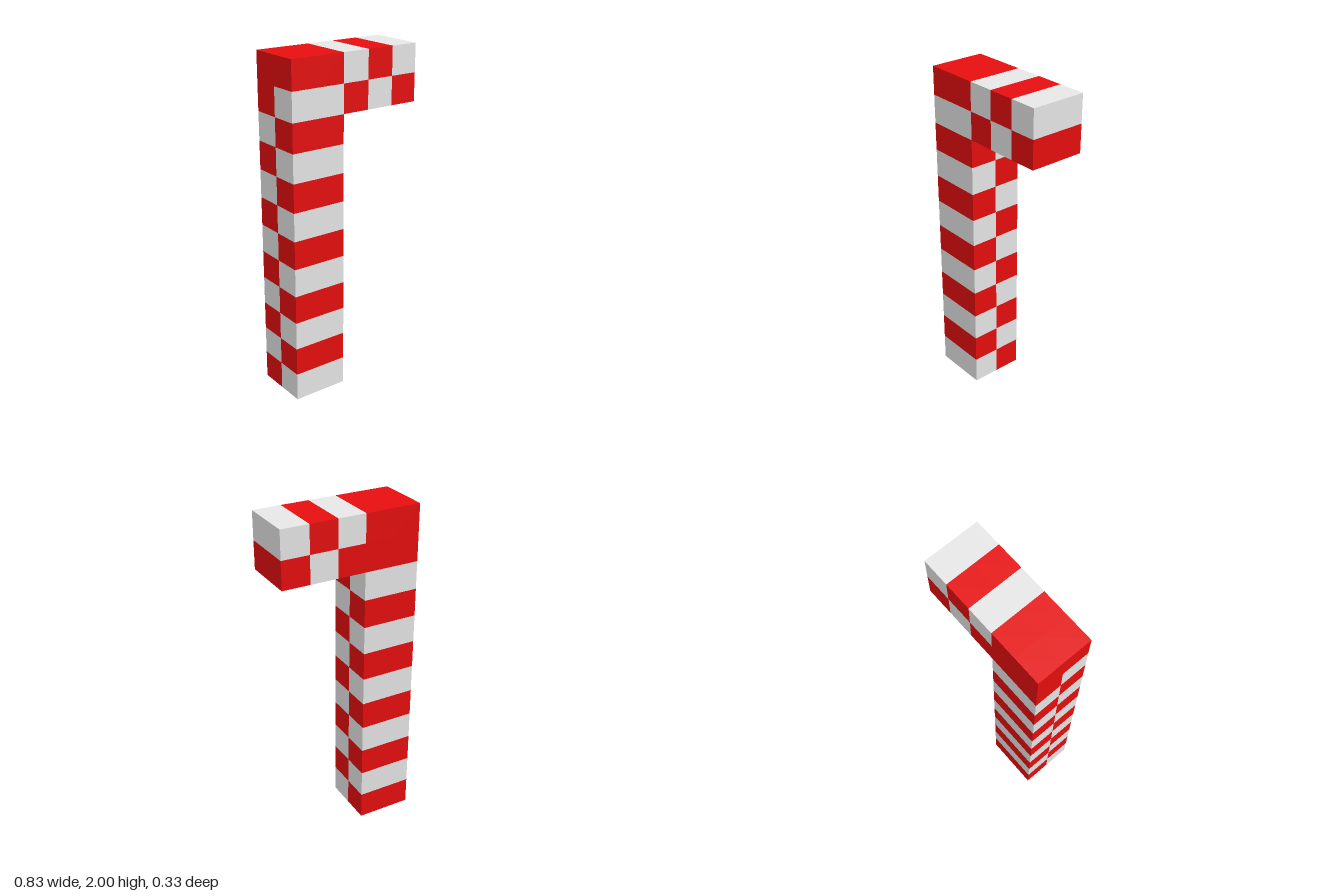
import * as THREE from 'three';
import { mergeGeometries } from 'three/addons/utils/BufferGeometryUtils.js';

const U = 1 / 6; // edge of one block
const COLS = 5, ROWS = 12, DEPTH = 2;

const filled = (x, y, z) =>
  x >= 0 && x < COLS && y >= 0 && y < ROWS && z >= 0 && z < DEPTH && (x < 2 || y >= 10);

// Stripe pattern: half-step bands on the shaft, checks along the arm
function isRed(x, y, z) {
  if (x >= 2) return (x + y) % 2 === 0;
  if (y === 11) return true;
  return z === 1 ? y % 2 === 1 : y % 2 === 0;
}

// Six block faces: outward direction and rotation of a +z plane
const H = Math.PI / 2;
const FACES = [
  [[0, 0, 1], 0, 0], [[0, 0, -1], 0, 2 * H],
  [[1, 0, 0], 0, H], [[-1, 0, 0], 0, -H],
  [[0, 1, 0], -H, 0], [[0, -1, 0], H, 0],
];

// Outer faces of all blocks of one colour between two columns
function stripes(x0, x1, red, material, name) {
  const parts = [];
  for (let x = x0; x < x1; x++)
    for (let y = 0; y < ROWS; y++)
      for (let z = 0; z < DEPTH; z++) {
        if (!filled(x, y, z) || isRed(x, y, z) !== red) continue;
        for (const [[dx, dy, dz], rx, ry] of FACES) {
          if (filled(x + dx, y + dy, z + dz)) continue;
          parts.push(new THREE.PlaneGeometry(U, U).rotateX(rx).rotateY(ry).translate(
            (x + 0.5 - COLS / 2 + dx / 2) * U,
            (y + 0.5 + dy / 2) * U,
            (z + 0.5 - DEPTH / 2 + dz / 2) * U));
        }
      }
  const mesh = new THREE.Mesh(mergeGeometries(parts), material);
  mesh.name = name;
  return mesh;
}

export function createModel() {
  const red = new THREE.MeshStandardMaterial({ color: 0xff1111 });
  red.name = 'candy red';
  const white = new THREE.MeshStandardMaterial({ color: 0xffffff });
  white.name = 'sugar white';

  const model = new THREE.Group();
  model.name = 'candyCane';
  for (const [name, x0, x1] of [['shaft', 0, 2], ['arm', 2, COLS]]) {
    const part = new THREE.Group();
    part.name = name;
    part.add(stripes(x0, x1, true, red, name + 'RedStripes'));
    part.add(stripes(x0, x1, false, white, name + 'WhiteStripes'));
    model.add(part);
  }
  return model;
}
